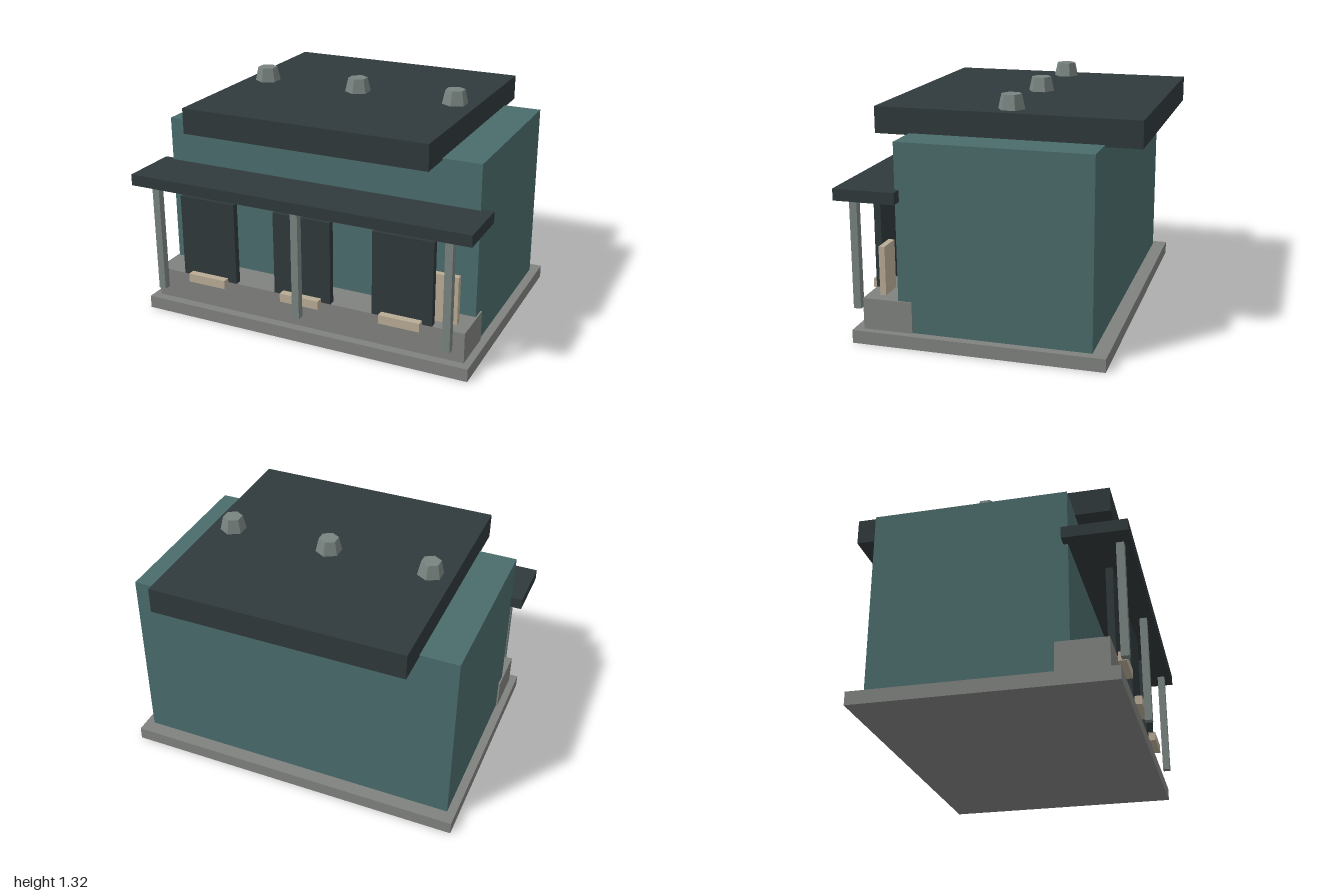
import * as THREE from 'three';

const paint = (color) => new THREE.MeshStandardMaterial({ color, flatShading: true });

export function createModel() {
  const model = new THREE.Group();
  const teal = paint(0x4a6b6b), dark = paint(0x30393b), stone = paint(0x80827f);
  const metal = paint(0x78837f), wood = paint(0xb8ab95);

  // Box given by its limits along each axis
  const box = (name, mat, [x0, x1], [y0, y1], [z0, z1]) => {
    const mesh = new THREE.Mesh(new THREE.BoxGeometry(x1 - x0, y1 - y0, z1 - z0), mat);
    mesh.position.set((x0 + x1) / 2, (y0 + y1) / 2, (z0 + z1) / 2);
    mesh.name = name;
    model.add(mesh);
  };

  // Ground slab, hall and raised porch
  box('baseSlab', stone, [-0.983, 0.983], [0, 0.073], [-0.667, 0.712]);
  box('hall', teal, [-0.934, 0.934], [0.073, 1.105], [-0.587, 0.463]);
  box('porchPlatform', stone, [-0.943, 0.943], [0.073, 0.246], [0.385, 0.66]);

  // Overhanging roof slab and porch awning
  box('roofSlab', dark, [-0.718, 0.718], [1.095, 1.24], [-0.78, 0.657]);
  box('awning', dark, [-1, 1], [0.79, 0.854], [0.44, 0.78]);

  // Three bays: door, step, awning post and roof vent
  for (const side of [-1, 0, 1]) {
    const door = side * 0.59;
    box('door', dark, [door - 0.172, door + 0.172], [0.246, 0.724], [0.623, 0.661]);
    box('doorStep', wood, [door - 0.117, door + 0.117], [0.22, 0.27], [0.63, 0.703]);

    const post = side * 0.87;
    box('awningPost', metal, [post - 0.021, post + 0.021], [0.16, 0.79], [0.7, 0.742]);

    const vent = new THREE.Mesh(new THREE.CylinderGeometry(0.056, 0.075, 0.085, 6), metal);
    vent.position.set(door, 1.2775, -0.063);
    vent.name = 'roofVent';
    model.add(vent);
  }

  // Upright board beside the left door
  box('noticeBoard', wood, [0.74, 0.875], [0.246, 0.518], [0.557, 0.591]);

  return model;
}
